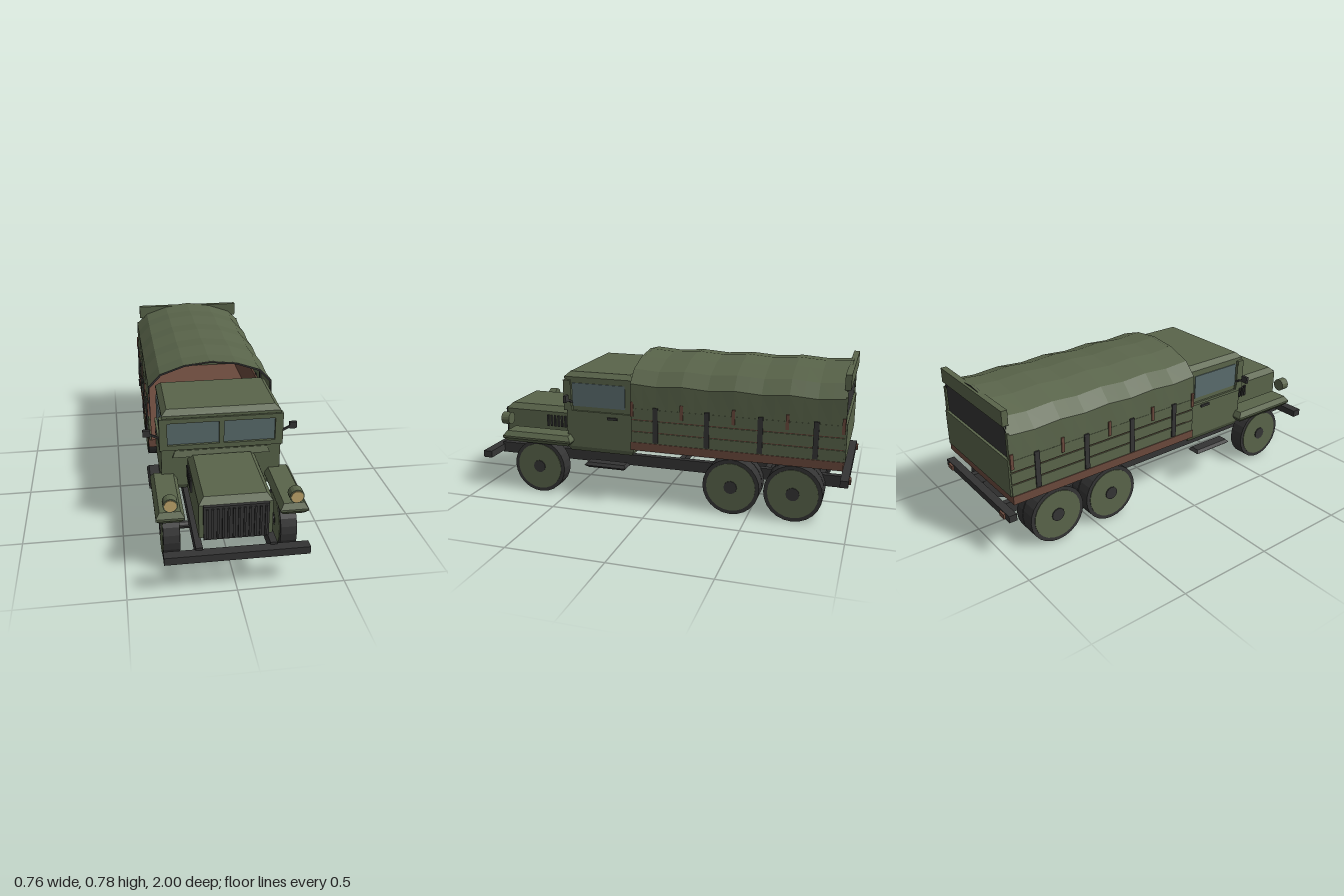
import * as THREE from 'three';

export function createModel() {
  const truck = new THREE.Group();
  const material = (name, color, extra = {}) => {
    const m = new THREE.MeshStandardMaterial({ color, flatShading: true, ...extra });
    m.name = name;
    return m;
  };
  const green = material('olive green', 0x59644a);
  const canvas = material('olive canvas', 0x59644a, { side: THREE.DoubleSide });
  const dark = material('dark grey', 0x343434);
  const brown = material('wood brown', 0x6a493c);
  const glass = material('window glass', 0x5a6c6d);
  const lamp = material('lamp lens', 0xc2a76c);

  const add = (name, geometry, mat, x = 0, y = 0, z = 0) => {
    const mesh = new THREE.Mesh(geometry, mat);
    mesh.name = name;
    mesh.position.set(x, y, z);
    truck.add(mesh);
    return mesh;
  };
  // Box given by its lower and upper limits
  const box = (name, mat, x0, x1, y0, y1, z0, z1) =>
    add(name, new THREE.BoxGeometry(x1 - x0, y1 - y0, z1 - z0), mat,
      (x0 + x1) / 2, (y0 + y1) / 2, (z0 + z1) / 2);
  // Box with its top (or bottom) face drawn inwards
  const taper = (name, mat, x0, x1, y0, y1, z0, z1, inset, end = 1) => {
    const mesh = box(name, mat, x0, x1, y0, y1, z0, z1);
    const p = mesh.geometry.attributes.position;
    for (let i = 0; i < p.count; i++) {
      if (p.getY(i) * end < 0) continue;
      p.setX(i, p.getX(i) - Math.sign(p.getX(i)) * inset);
      p.setZ(i, p.getZ(i) - Math.sign(p.getZ(i)) * inset);
    }
    mesh.geometry.computeVertexNormals();
    return mesh;
  };
  const drum = (name, mat, r, length, x, y, z, axis = 'x', sides = 24) => {
    const g = new THREE.CylinderGeometry(r, r, length, sides);
    if (axis === 'x') g.rotateZ(Math.PI / 2);
    else g.rotateX(Math.PI / 2);
    return add(name, g, mat, x, y, z);
  };
  const mirrored = (name, mat, x0, x1, ...rest) => {
    box(name, mat, x0, x1, ...rest);
    box(name, mat, -x1, -x0, ...rest);
  };

  // Chassis
  mirrored('frameRail', dark, 0.153, 0.185, 0.158, 0.218, -0.95, 0.96);
  for (const z of [-0.85, -0.57, -0.1, 0.4])
    box('crossMember', dark, -0.155, 0.155, 0.175, 0.21, z - 0.015, z + 0.015);
  box('frontBumper', dark, -0.33, 0.33, 0.169, 0.206, 0.95, 1);
  box('rearBumper', dark, -0.335, 0.335, 0.215, 0.25, -0.99, -0.95);
  mirrored('tailLight', brown, 0.255, 0.298, 0.22, 0.245, -1, -0.99);

  // Wheels and axles
  const wheelY = 0.147;
  [0.66, -0.41, -0.725].forEach((z, i) => {
    drum('axle', dark, 0.018, 0.5, 0, 0.148, z, 'x', 12);
    for (const s of [-1, 1]) {
      drum('tyre', dark, 0.147, 0.078, s * 0.278, wheelY, z);
      drum('wheelDisc', green, 0.127, 0.084, s * 0.278, wheelY, z);
      drum('hub', dark, 0.034, 0.09, s * 0.28, wheelY, z, 'x', 12);
      if (i > 0) drum('innerTyre', dark, 0.147, 0.055, s * 0.2075, wheelY, z);
    }
  });

  // Cab
  taper('cabFloor', green, -0.295, 0.295, 0.25, 0.275, 0.12, 0.495, 0.012, -1);
  box('cabBody', green, -0.295, 0.295, 0.275, 0.475, 0.12, 0.495);
  box('cabUpper', green, -0.288, 0.288, 0.475, 0.645, 0.12, 0.49);
  box('windshieldSill', green, -0.303, 0.303, 0.475, 0.5, 0.46, 0.508);
  box('windshieldHeader', green, -0.303, 0.303, 0.617, 0.64, 0.47, 0.508);
  mirrored('windshieldPillar', green, 0.264, 0.303, 0.5, 0.617, 0.465, 0.508);
  box('windshieldDivider', green, -0.012, 0.012, 0.5, 0.617, 0.48, 0.508);
  mirrored('windshield', glass, 0.012, 0.264, 0.5, 0.617, 0.488, 0.495);
  mirrored('sideWindow', glass, 0.286, 0.293, 0.5, 0.625, 0.165, 0.46);
  mirrored('beltLine', green, 0.29, 0.301, 0.462, 0.476, 0.125, 0.49);
  mirrored('doorHandle', dark, 0.293, 0.305, 0.44, 0.452, 0.205, 0.262);
  box('roofBase', green, -0.29, 0.29, 0.643, 0.657, 0.117, 0.505);
  taper('roof', green, -0.29, 0.29, 0.657, 0.682, 0.117, 0.505, 0.026);
  for (const s of [-1, 1]) {
    taper('runningBoard', dark, s * 0.315 - 0.037, s * 0.315 + 0.037, 0.195, 0.21, 0.145, 0.378, 0.012);
    taper('runningBoardBase', dark, s * 0.315 - 0.037, s * 0.315 + 0.037, 0.18, 0.195, 0.145, 0.378, 0.018, -1);
    box('mirror', dark, s * 0.362 - 0.018, s * 0.362 + 0.018, 0.537, 0.572, 0.458, 0.473);
    const arm = box('mirrorArm', dark, -0.035, 0.035, -0.005, 0.005, -0.005, 0.005);
    arm.position.set(s * 0.322, 0.535, 0.465);
    arm.rotation.z = s * 0.45;
  }

  // Hood, grille and louvres
  box('hoodBody', green, -0.167, 0.167, 0.25, 0.417, 0.49, 0.928);
  taper('hoodTop', green, -0.167, 0.167, 0.417, 0.447, 0.49, 0.928, 0.025);
  taper('cowl', green, -0.24, 0.24, 0.435, 0.465, 0.48, 0.51, 0.012);
  box('grille', dark, -0.147, 0.147, 0.247, 0.417, 0.92, 0.944);
  for (let i = 0; i < 12; i++) {
    const x = -0.132 + i * 0.024;
    box('grilleBar', dark, x - 0.005, x + 0.005, 0.257, 0.407, 0.944, 0.952);
  }
  for (let i = 0; i < 8; i++) {
    const z = 0.525 + i * 0.021;
    mirrored('louvre', dark, 0.165, 0.176, 0.335, 0.398, z - 0.005, z + 0.005);
  }

  // Fenders and headlights
  for (const s of [-1, 1]) {
    const a = s * 0.286 - 0.066, b = s * 0.286 + 0.066;
    taper('fenderTop', green, a, b, 0.314, 0.34, 0.46, 0.858, 0.018);
    box('fenderEdge', green, a, b, 0.304, 0.314, 0.46, 0.858);
    taper('fenderUnderside', green, a, b, 0.283, 0.304, 0.46, 0.858, 0.018, -1);
    drum('headlight', green, 0.034, 0.045, s * 0.287, 0.397, 0.857, 'z', 16);
    drum('headlightLens', lamp, 0.028, 0.005, s * 0.287, 0.397, 0.881, 'z', 16);
  }

  // Cargo bed with slatted sides
  box('bedFloor', brown, -0.335, 0.335, 0.3, 0.343, -0.96, 0.12);
  mirrored('sidePanel', brown, 0.318, 0.326, 0.34, 0.525, -0.955, 0.115);
  for (const y of [0.343, 0.405, 0.467])
    mirrored('sideBoard', green, 0.322, 0.331, y, y + 0.056, -0.96, 0.118);
  for (const z of [-0.015, -0.285, -0.555, -0.825])
    mirrored('sidePost', dark, 0.326, 0.337, 0.348, 0.534, z - 0.013, z + 0.013);
  box('tailgate', green, -0.326, 0.326, 0.343, 0.53, -0.968, -0.95);

  // Canvas cover sagging between its hoops
  const half = [[0.33, 0.5], [0.328, 0.652], [0.265, 0.718], [0.14, 0.761]];
  const arch = [...half, [0, 0.776], ...half.map(([x, y]) => [-x, y]).reverse()];
  const hoopGap = 0.27, steps = 16, n = arch.length;
  const points = [], faces = [];
  for (let k = 0; k <= steps; k++) {
    const sag = 0.01 * Math.sin(k * Math.PI / 4) ** 2;
    arch.forEach(([x, y]) =>
      points.push(x * (y > 0.6 ? 1 - sag * 0.6 : 1), y - (y > 0.6 ? sag : 0), 0.12 - k * 1.08 / steps));
    for (let j = 0; k < steps && j < n - 1; j++) {
      const a = k * n + j;
      faces.push(a, a + n, a + 1, a + 1, a + n, a + n + 1);
    }
  }
  const cover = new THREE.BufferGeometry();
  cover.setAttribute('position', new THREE.Float32BufferAttribute(points, 3));
  cover.setIndex(faces);
  cover.computeVertexNormals();
  add('canvasCover', cover, canvas);

  const outline = [
    ...arch.map(([x, y]) => new THREE.Vector2(x * 0.995, y - 0.001)),
    ...arch.map(([x, y]) => new THREE.Vector2(x * 0.975, y - 0.009)).reverse(),
  ];
  for (let i = 0; i < 5; i++) {
    const z = 0.112 - i * (hoopGap - 0.004);
    add('hoop', new THREE.ExtrudeGeometry(new THREE.Shape(outline), { depth: 0.014, bevelEnabled: false }),
      dark, 0, 0, z - 0.007);
    mirrored('hoopStake', brown, 0.326, 0.336, 0.482, 0.558, z - 0.008, z + 0.008);
  }

  // Rear opening, seen from behind only, and the flap above it
  const opening = add('rearOpening', new THREE.PlaneGeometry(0.62, 0.17), dark, 0, 0.61, -0.955);
  opening.rotation.y = Math.PI;
  mirrored('rearCanvasEdge', green, 0.308, 0.328, 0.53, 0.66, -0.962, -0.952);
  box('rearFlap', green, -0.31, 0.31, 0.692, 0.766, -0.972, -0.942);

  return truck;
}
